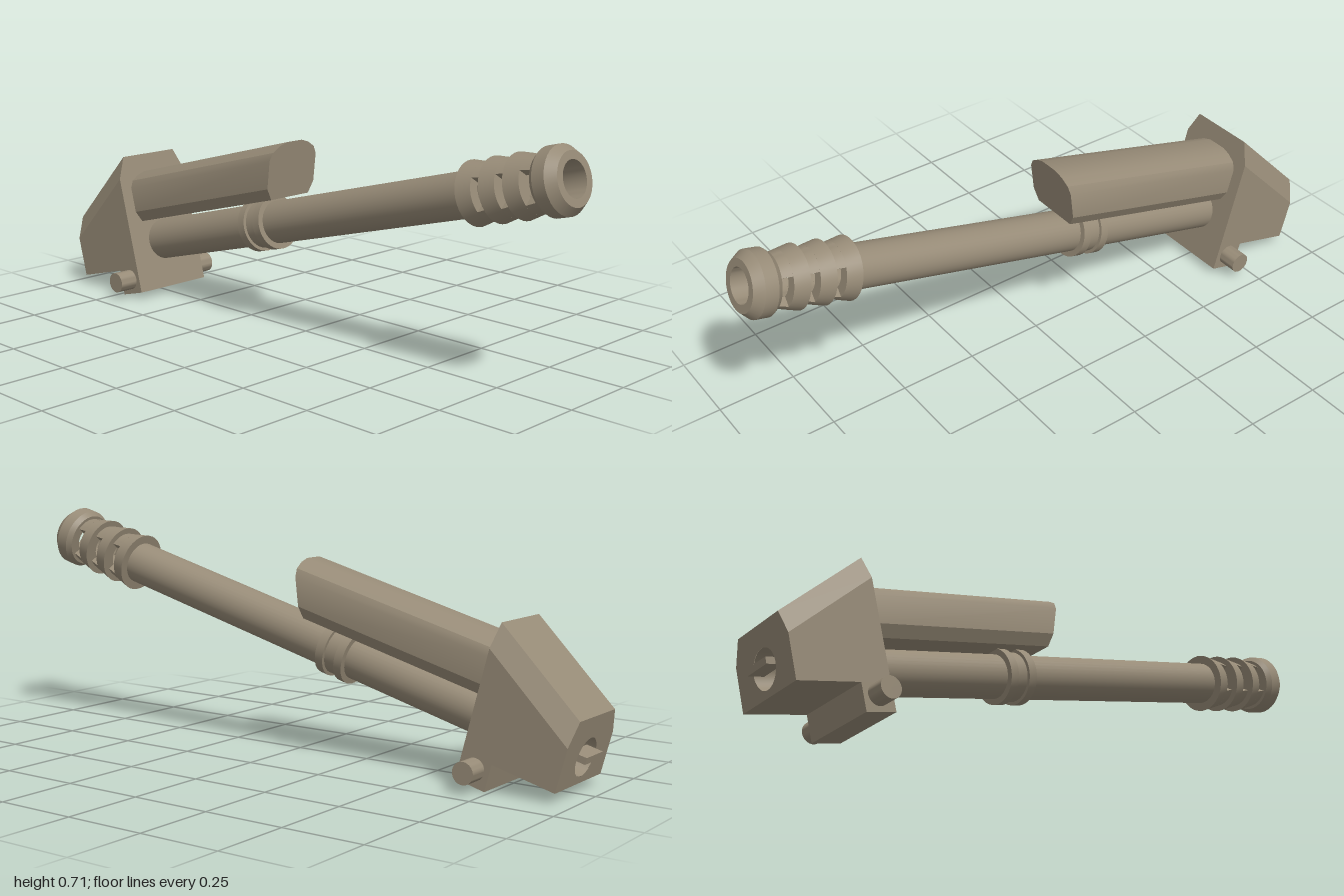
import * as THREE from 'three';
import { toCreasedNormals } from 'three/addons/utils/BufferGeometryUtils.js';

const gunMetal = new THREE.MeshStandardMaterial({ color: 0x978b77, side: THREE.DoubleSide });
gunMetal.name = 'gunMetal';

const AXIS = 0.113; // height of the bore above the trunnion
const BORE = 0.052;
const RAD = Math.PI / 180;

function add(parent, name, geometry, smooth = true) {
  const mesh = new THREE.Mesh(smooth ? toCreasedNormals(geometry, 0.5) : geometry, gunMetal);
  mesh.name = name;
  parent.add(mesh);
  return mesh;
}

const shapeOf = (pts) => new THREE.Shape(pts.map(([x, y]) => new THREE.Vector2(x, y)));

// Turned part about the bore; profile is [radius, distance along the bore], closed automatically
function turned(parent, name, profile, start = 0, length = Math.PI * 2) {
  const pts = [...profile, profile[0]].map(([r, u]) => new THREE.Vector2(r, u));
  const place = (g) => g.rotateZ(-Math.PI / 2).translate(0, AXIS, 0);
  const segments = Math.round(36 * length / (Math.PI * 2));
  add(parent, name, place(new THREE.LatheGeometry(pts, segments, start, length)));
  if (length < 6) {
    for (const phi of [start, start + length]) {
      const cap = new THREE.ShapeGeometry(shapeOf(profile)).rotateY(phi - Math.PI / 2);
      add(parent, name + 'Cap', place(cap), false);
    }
  }
}

// Breech section: wide base with bevelled upper corners
const breechSection = (shoulder, top) => [
  [-0.14, 0.034], [0.14, 0.034], [0.14, shoulder],
  [0.108, top], [-0.108, top], [-0.14, shoulder],
];

function buildBreech(parent) {
  const breech = new THREE.Group();
  breech.name = 'breech';
  parent.add(breech);
  const back = breechSection(0.165, 0.237), front = breechSection(0.34, 0.412);
  const u0 = -0.247, u1 = 0.048;

  // Skin between the back and front sections
  const pos = [];
  back.forEach((a, i) => {
    const j = (i + 1) % back.length;
    const a0 = [...a, u0], b0 = [...back[j], u0], b1 = [...front[j], u1], a1 = [...front[i], u1];
    pos.push(...a0, ...b0, ...b1, ...a0, ...b1, ...a1);
  });
  const skin = new THREE.BufferGeometry();
  skin.setAttribute('position', new THREE.Float32BufferAttribute(pos, 3));
  skin.computeVertexNormals();
  add(breech, 'breechSkin', skin.rotateY(Math.PI / 2), false);

  // End faces, the rear one open for loading
  add(breech, 'breechFront', new THREE.ShapeGeometry(shapeOf(front)).translate(0, 0, u1).rotateY(Math.PI / 2), false);
  const rear = shapeOf(back);
  rear.holes.push(new THREE.Path().absarc(0, AXIS, 0.058, 0, Math.PI * 2, true));
  add(breech, 'breechRear', new THREE.ShapeGeometry(rear, 18).rotateY(Math.PI).translate(0, 0, u0).rotateY(Math.PI / 2), false);

  // Mounting foot, trunnion and loading handle
  add(breech, 'foot', new THREE.BoxGeometry(0.096, 0.083, 0.28).translate(0, -0.0075, 0), false);
  add(breech, 'trunnion', new THREE.CylinderGeometry(0.033, 0.033, 0.404, 28).rotateX(Math.PI / 2));
  add(breech, 'breechHandle', new THREE.BoxGeometry(0.05, 0.02, 0.1).translate(-0.245, 0.12, 0), false);
}

function buildRecoilHousing(parent) {
  const half = [[0.08, 0.187], [0.1, 0.222], [0.1, 0.305], [0.088, 0.328], [0.062, 0.344], [0.032, 0.353]];
  const section = shapeOf([...half, ...half.slice().reverse().map(([x, y]) => [-x, y])]);
  const g = new THREE.ExtrudeGeometry(section, { depth: 0.738, bevelEnabled: false });
  g.translate(0, 0, 0.03).rotateY(Math.PI / 2);
  // Rake the forward end
  const p = g.attributes.position;
  for (let i = 0; i < p.count; i++) {
    if (p.getX(i) > 0.5) p.setX(i, p.getX(i) + (p.getY(i) - 0.353) * 0.396);
  }
  add(parent, 'recoilHousing', g);
}

function buildMuzzleBrake(parent) {
  const brake = new THREE.Group();
  brake.name = 'muzzleBrake';
  parent.add(brake);
  // Three tapered baffles, each with side vents in its forward part
  for (let i = 0; i < 3; i++) {
    const u = 1.44 + i * 0.082;
    turned(brake, 'baffle', [[BORE, u], [0.094, u], [0.083, u + 0.046], [BORE, u + 0.046]]);
    for (const start of [35, 215]) {
      turned(brake, 'ventBridge',
        [[BORE, u + 0.046], [0.083, u + 0.046], [0.075, u + 0.082], [BORE, u + 0.082]],
        start * RAD, 110 * RAD);
    }
  }
  turned(brake, 'muzzleTip', [
    [BORE, 1.686], [0.085, 1.686], [0.097, 1.702], [0.097, 1.742], [0.076, 1.769], [BORE, 1.769],
  ]);
}

export function createModel() {
  const model = new THREE.Group();
  model.name = 'cannon';

  // Everything pivots on the trunnion, raised 15 degrees
  const gun = new THREE.Group();
  gun.name = 'elevatedGun';
  gun.position.set(-0.7, 0.06, 0);
  gun.rotation.z = 15 * RAD;
  model.add(gun);

  buildBreech(gun);
  buildRecoilHousing(gun);
  turned(gun, 'barrel', [[0.058, -0.246], [0.067, -0.24], [0.067, 1.441], [BORE, 1.441], [BORE, -0.1]]);
  turned(gun, 'barrelCollar', [
    [0.06, 0.532], [0.085, 0.532], [0.085, 0.56], [0.075, 0.56],
    [0.075, 0.602], [0.085, 0.602], [0.085, 0.63], [0.06, 0.63],
  ]);
  buildMuzzleBrake(gun);
  return model;
}
